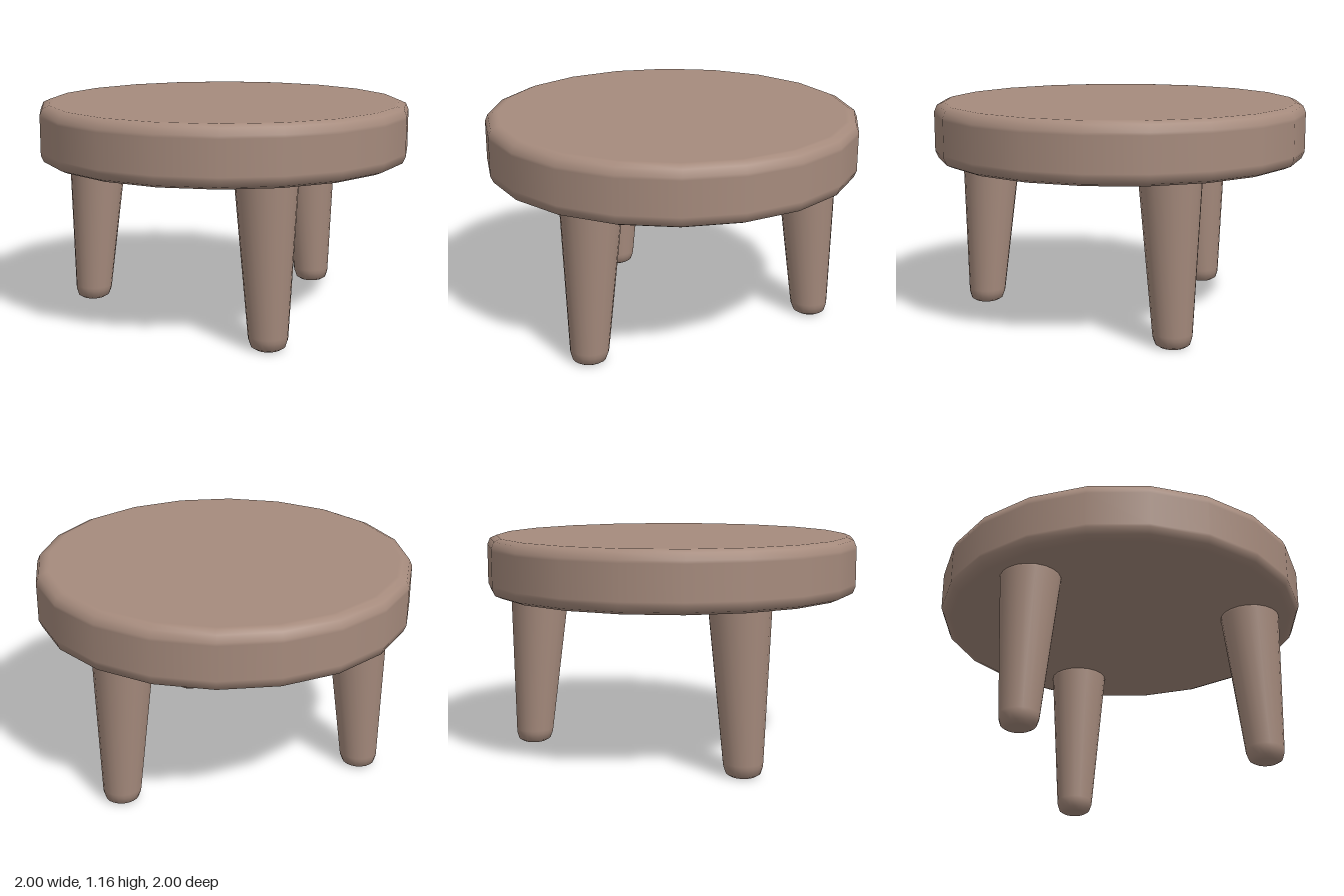
import * as THREE from 'three';

const SIDES = 20;

// Smooth turned solid from [radius, height] pairs, listed bottom to top
function turned(points, material, name) {
  const profile = points.map(([r, y]) => new THREE.Vector2(r, y));
  const mesh = new THREE.Mesh(new THREE.LatheGeometry(profile, SIDES), material);
  mesh.name = name;
  return mesh;
}

export function createModel() {
  const wood = new THREE.MeshStandardMaterial({ color: 0xa68b7d });
  wood.name = 'brown wood';

  const stool = new THREE.Group();
  stool.name = 'stool';

  // Round seat with softened rims
  stool.add(turned([
    [0, 0.85], [0.93, 0.85], [0.95, 0.85], [0.985, 0.865], [1, 0.9], [1, 0.915],
    [1, 1.095], [1, 1.11], [0.985, 1.145], [0.95, 1.16], [0.93, 1.16], [0, 1.16],
  ], wood, 'seat'));

  // Three tapered legs, splayed outward toward the floor
  const names = ['frontLeg', 'backLeftLeg', 'backRightLeg'];
  names.forEach((name, i) => {
    const leg = turned([
      [0, 0], [0.055, 0], [0.065, 0], [0.088, 0.014], [0.1, 0.05], [0.102, 0.07],
      [0.159, 0.84], [0.161, 0.87], [0, 0.87],
    ], wood, name);
    const pos = leg.geometry.attributes.position;
    for (let v = 0; v < pos.count; v++) {
      pos.setZ(v, pos.getZ(v) + 0.775 - 0.055 * pos.getY(v));
    }
    leg.rotation.y = (i * Math.PI * 2) / 3;
    stool.add(leg);
  });

  return stool;
}
